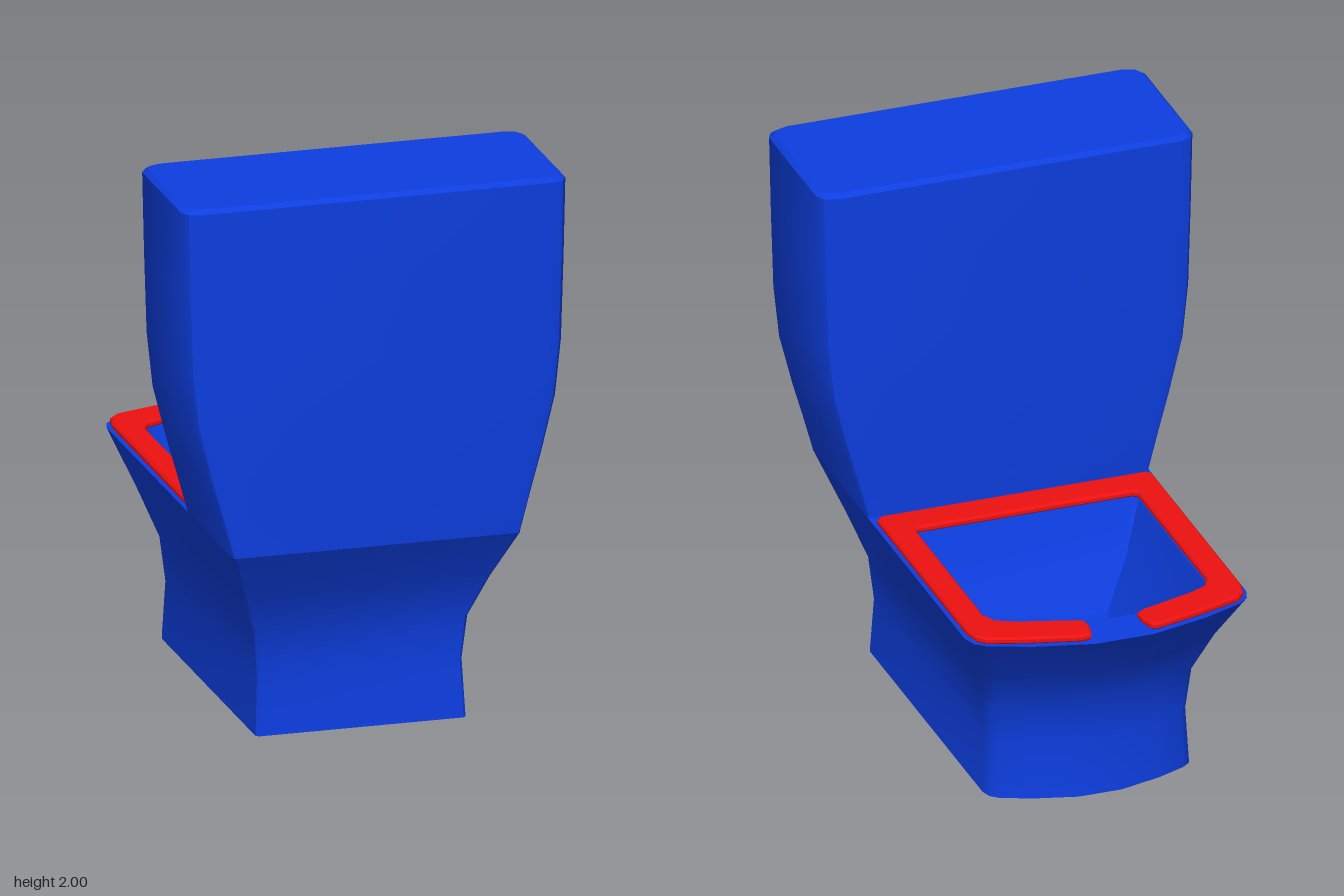
import * as THREE from 'three';
import { toCreasedNormals } from 'three/addons/utils/BufferGeometryUtils.js';

const RIM_Y = 0.72;

// Skins a stack of closed rings (arrays of [x, y, z]); optionally closes the last one.
function loft(rings, cap) {
  const n = rings[0].length;
  const pos = rings.flat(2);
  const index = [];
  for (let i = 0; i < rings.length - 1; i++) {
    for (let j = 0; j < n; j++) {
      const k = (j + 1) % n;
      const a = i * n + j, b = i * n + k;
      index.push(a, b, b + n, a, b + n, a + n);
    }
  }
  if (cap) {
    const last = rings[rings.length - 1];
    const zs = last.map((p) => p[2]);
    const centre = pos.length / 3;
    pos.push(0, last[0][1], (Math.min(...zs) + Math.max(...zs)) / 2);
    const start = (rings.length - 1) * n;
    for (let j = 0; j < n; j++) index.push(centre, start + j, start + ((j + 1) % n));
  }
  const geo = new THREE.BufferGeometry();
  geo.setAttribute('position', new THREE.Float32BufferAttribute(pos, 3));
  geo.setIndex(index);
  return toCreasedNormals(geo, 0.6);
}

// Mirrors a half outline of [x, z] points across x = 0.
const mirror = (half) => [...half, ...half.slice().reverse().map(([x, z]) => [-x, z])];
const atHeight = (outline, y) => outline.map(([x, z]) => [x, y, z]);
const toVectors = (outline) => outline.map(([x, z]) => new THREE.Vector2(x, -z));

// Straight sides closed by a faceted bow: half width, tank-side z, bow start z, bow tip z.
function bowOutline(w, back, corner, tip) {
  const bow = [[1, 0], [0.97, 0.26], [0.9, 0.42], [0.62, 0.72], [0.21, 1]];
  return mirror([
    [w - 0.01, back], [w, back - 0.01],
    ...bow.map(([fx, fz]) => [w * fx, corner + (tip - corner) * fz]),
  ]);
}

// Rectangle with eased corners for the tank.
function tankOutline(w, inset) {
  const x = w - inset, z0 = 0.295 + inset, z1 = 0.862 - inset;
  const r = 0.06 * Math.min(1, 0.3 + (w - 0.52) * 4);
  return mirror([
    [x - r, z1], [x - r * 0.3, z1 - r * 0.25], [x, z1 - r * 0.8],
    [x, z0 + r * 0.8], [x - r * 0.3, z0 + r * 0.25], [x - r, z0],
  ]);
}

export function createModel() {
  const model = new THREE.Group();
  const blue = new THREE.MeshStandardMaterial({ color: 0x0d3ee0, side: THREE.DoubleSide });
  const red = new THREE.MeshStandardMaterial({ color: 0xee1111 });
  const add = (name, geo, material) => {
    const mesh = new THREE.Mesh(geo, material);
    mesh.name = name;
    model.add(mesh);
    return mesh;
  };

  // Pedestal shell, open underneath: height, half width, tank side, bow start, bow tip
  const levels = [
    [0, 0.38, 0.67, -0.47, -0.62],
    [0.21, 0.37, 0.655, -0.46, -0.6],
    [0.37, 0.386, 0.67, -0.48, -0.62],
    [0.53, 0.446, 0.742, -0.55, -0.71],
    [RIM_Y, 0.52, 0.862, -0.67, -0.865],
  ];
  add('pedestal', loft(levels.map(([y, ...o]) => atHeight(bowOutline(...o), y))), blue);

  // Flat rim around the basin opening
  const opening = bowOutline(0.41, 0.118, -0.57, -0.7);
  const rim = new THREE.Shape(toVectors(bowOutline(0.52, 0.3, -0.67, -0.865)));
  rim.holes.push(new THREE.Path(toVectors(opening)));
  add('rim', new THREE.ShapeGeometry(rim).rotateX(-Math.PI / 2), blue).position.y = RIM_Y;

  // Basin sinking to a small flat floor
  add('basin', loft([
    atHeight(opening, RIM_Y),
    atHeight(bowOutline(0.395, 0.105, -0.56, -0.685), 0.68),
    atHeight(bowOutline(0.335, 0.045, -0.54, -0.63), 0.54),
    atHeight(bowOutline(0.235, -0.04, -0.495, -0.55), 0.38),
  ], true), blue);

  // Tank flaring upward, with a narrow bevel around its lid
  const tankLevels = [
    [RIM_Y, 0.52], [0.86, 0.56], [1, 0.602], [1.2, 0.655], [1.4, 0.678],
    [1.7, 0.688], [1.985, 0.695], [2, 0.695, 0.015],
  ];
  add('tank', loft(tankLevels.map(([y, w, inset = 0]) => atHeight(tankOutline(w, inset), y)), true), blue);

  // Seat ring with a gap at the bow
  const outer = [[0.11, -0.832], [0.14, -0.838], [0.32, -0.79], [0.465, -0.742], [0.495, -0.71],
    [0.508, -0.65], [0.508, 0.235], [0.49, 0.255]];
  const inner = [[0.41, 0.115], [0.395, 0.13]];
  const tip = [[0.095, -0.78], [0.095, -0.73], [0.12, -0.715], [0.32, -0.652], [0.385, -0.62], [0.412, -0.565]];
  const flip = (pts) => pts.slice().reverse().map(([x, z]) => [-x, z]);
  const seatOutline = [...outer, ...flip(outer), ...flip([...tip, ...inner]).reverse(),
    ...[...tip, ...inner].reverse()];
  // Order: right limb outside, left limb outside, left limb inside, right limb inside
  const seat = new THREE.ExtrudeGeometry(new THREE.Shape(toVectors(seatOutline.slice(0, 16).concat(
    tip.slice(0).map(([x, z]) => [-x, z]), inner.map(([x, z]) => [-x, z]),
    inner.slice().reverse(), tip.slice().reverse()))), {
    depth: 0.012, bevelThickness: 0.008, bevelSize: 0.008, bevelOffset: -0.008, bevelSegments: 1,
  });
  add('seat', seat.rotateX(-Math.PI / 2), red).position.y = RIM_Y + 0.006;

  return model;
}
